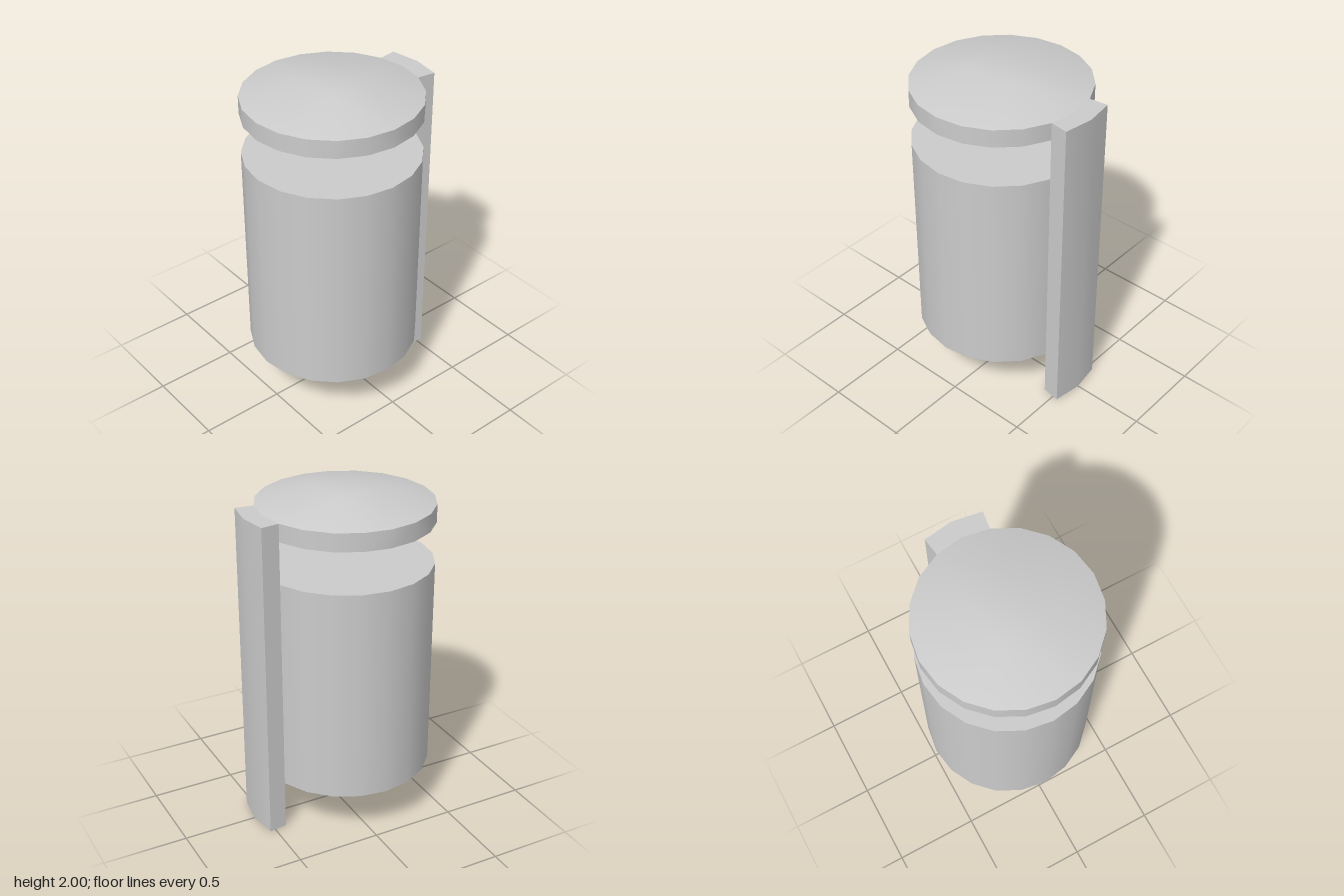
import * as THREE from 'three';
import { toCreasedNormals } from 'three/addons/utils/BufferGeometryUtils.js';
import { ConvexGeometry } from 'three/addons/geometries/ConvexGeometry.js';

const SIDES = 20, RADIUS = 0.507, CENTRE_X = -0.056;

// Points evenly spaced on a level circle
function ring(count, radius, y, start = 0) {
  return Array.from({ length: count }, (_, i) => {
    const a = start + (i / count) * Math.PI * 2;
    return new THREE.Vector3(Math.cos(a) * radius, y, Math.sin(a) * radius);
  });
}

export function createModel() {
  const group = new THREE.Group();
  const grey = new THREE.MeshStandardMaterial({ color: 0xcccccc });

  function add(name, geometry, x, y) {
    const mesh = new THREE.Mesh(geometry, grey);
    mesh.name = name;
    mesh.position.set(x, y, 0);
    group.add(mesh);
  }

  // Drum body
  add('body', new THREE.CylinderGeometry(RADIUS, RADIUS, 1.268, SIDES), CENTRE_X, 0.931);

  // Lid: upright rim rising to a small, slightly turned square plateau
  const lid = new ConvexGeometry([
    ...ring(SIDES, RADIUS, 1.81),
    ...ring(SIDES, RADIUS, 1.915),
    ...ring(4, 0.2, 2, Math.PI / 5),
  ]);
  add('lid', toCreasedNormals(lid, 0.6), CENTRE_X, 0);

  // Post: hugs two facets of the drum, with a shallow ridge outside
  const section = new THREE.Shape([
    [0.451, 0], [0.426, -0.157], [0.533, -0.172],
    [0.559, 0], [0.533, 0.172], [0.426, 0.157],
  ].map(([x, z]) => new THREE.Vector2(x, z)));
  const post = new THREE.ExtrudeGeometry(section, { depth: 1.915, bevelEnabled: false });
  post.rotateX(-Math.PI / 2);
  add('post', toCreasedNormals(post, 0.5), 0, 0);

  return group;
}
